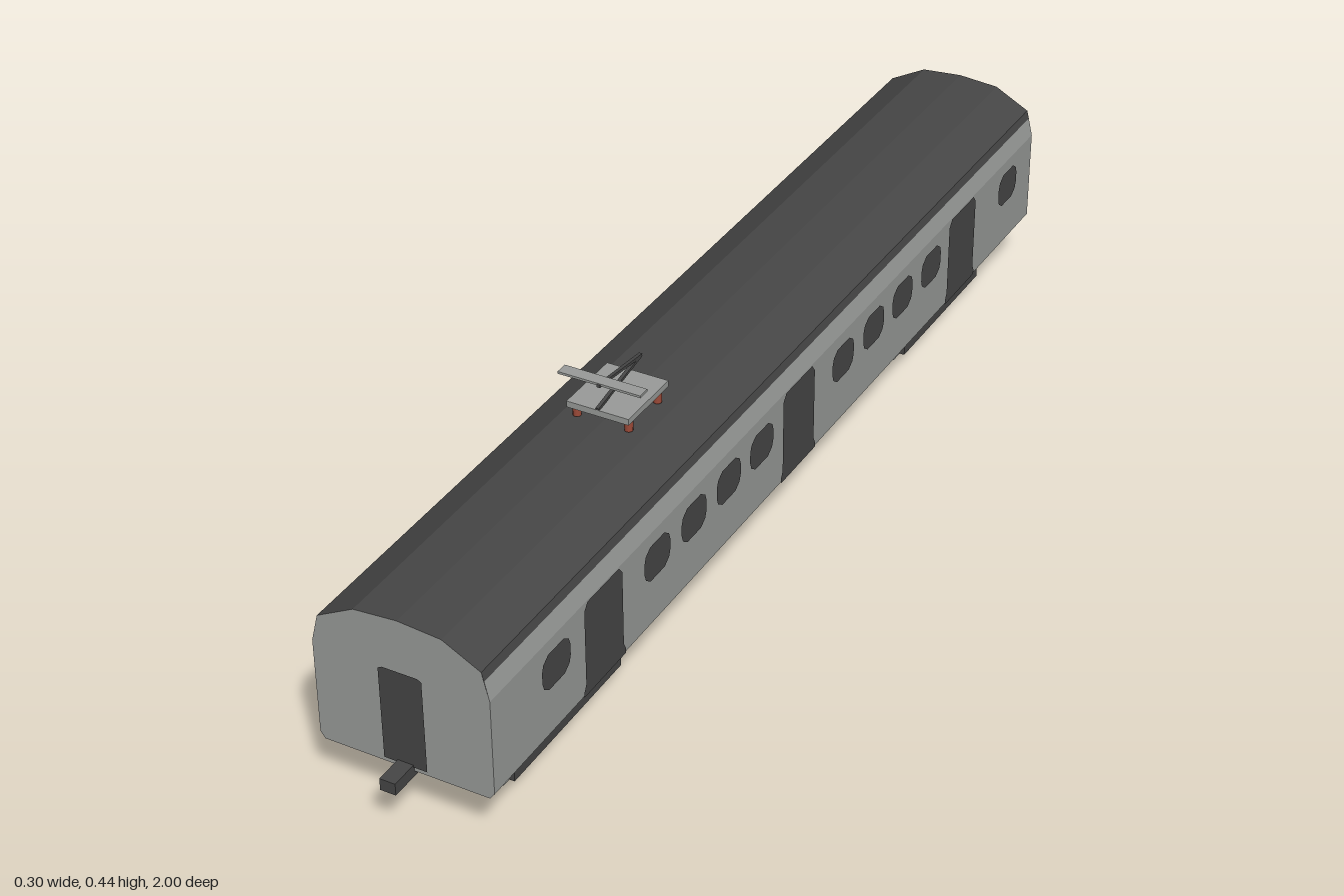
import * as THREE from 'three';

const HALF = 0.95; // half length of the car body

export function createModel() {
  const mat = (name, color) => Object.assign(new THREE.MeshStandardMaterial({ color }), { name });
  const grey = mat('body grey', 0x999b99);
  const dark = mat('dark grey', 0x464646);
  const rust = mat('insulator rust', 0x9c4a38);

  const model = new THREE.Group();
  model.name = 'railcar';

  const add = (name, geometry, material, x = 0, y = 0, z = 0, parent = model) => {
    const mesh = new THREE.Mesh(geometry, material);
    mesh.name = name;
    mesh.position.set(x, y, z);
    parent.add(mesh);
    return mesh;
  };
  // Box given by its width, y range and z range
  const box = (name, material, x, w, y0, y1, z0, z1, parent) =>
    add(name, new THREE.BoxGeometry(w, y1 - y0, z1 - z0), material, x, (y0 + y1) / 2, (z0 + z1) / 2, parent);
  const polygon = (pts) => new THREE.ShapeGeometry(new THREE.Shape(pts.map((p) => new THREE.Vector2(...p))));
  const mirror = (pts) => pts.map(([x, y]) => [-x, y]).reverse();

  // Sweep an open cross-section along the whole body, flat faces
  const strip = (pts) => {
    const v = [];
    for (let i = 0; i < pts.length - 1; i++) {
      const [a, b] = [pts[i], pts[i + 1]];
      v.push(...a, -HALF, ...b, -HALF, ...b, HALF, ...a, -HALF, ...b, HALF, ...a, HALF);
    }
    const g = new THREE.BufferGeometry();
    g.setAttribute('position', new THREE.Float32BufferAttribute(v, 3));
    g.computeVertexNormals();
    return g;
  };

  // Body shell: walls, roof, underframe and ends
  const sill = [[0.142, 0.096], [0.15, 0.107]];
  const wall = [[0.15, 0.107], [0.15, 0.275], [0.142, 0.308]];
  const roof = [[0.142, 0.308], [0.138, 0.323], [0.074, 0.357]];
  add('leftWall', strip(wall), grey);
  add('rightWall', strip(mirror(wall)), grey);
  add('roof', strip([...roof, [0, 0.363], ...mirror(roof)]), dark);
  add('underframe', strip([...mirror(sill), ...sill]), dark);
  const half = [...sill, wall[1], ...roof.slice(1)];
  const endShape = polygon([...half, [0, 0.363], ...mirror(half)]);
  const endDoor = polygon([[-0.037, 0.104], [0.037, 0.104], [0.037, 0.268], [0.03, 0.272], [-0.03, 0.272], [-0.037, 0.268]]);
  for (const s of [1, -1]) {
    const end = new THREE.Group();
    end.name = s > 0 ? 'frontEnd' : 'backEnd';
    end.rotation.y = s > 0 ? 0 : Math.PI;
    model.add(end);
    add('endWall', endShape, grey, 0, 0, HALF, end);
    add('gangwayDoor', endDoor, dark, 0, 0, HALF + 0.002, end);
    box('coupler', dark, 0, 0.027, 0.087, 0.108, HALF - 0.03, 1, end);
  }

  // Side windows and doors, the same on both sides
  const windowShape = polygon([[-0.022, -0.032], [0.022, -0.032], [0.036, -0.022], [0.04, -0.01], [0.04, 0.01],
    [0.036, 0.022], [0.022, 0.032], [-0.022, 0.032], [-0.036, 0.022], [-0.04, 0.01], [-0.04, -0.01], [-0.036, -0.022]]);
  const halfDoor = [[0.062, 0.107], [0.062, 0.116], [0.056, 0.128], [0.056, 0.262], [0.046, 0.275]];
  const doorShape = polygon([...halfDoor, ...mirror(halfDoor)]);
  const windowZ = [0.775, 0.476, 0.36, 0.246, 0.134, -0.16, -0.277, -0.391, -0.508, -0.84];
  for (const s of [1, -1]) {
    const side = s > 0 ? 'left' : 'right';
    for (const z of windowZ) add(side + 'Window', windowShape, dark, s * 0.152, 0.222, z).rotation.y = s * Math.PI / 2;
    for (const z of [0.638, 0.003, -0.638]) add(side + 'Door', doorShape, dark, s * 0.152, 0, z).rotation.y = s * Math.PI / 2;
  }

  // Underfloor equipment and the two bogies
  box('equipmentBox', dark, 0, 0.2, 0.058, 0.096, -0.415, 0.415);
  for (const s of [1, -1]) {
    const bogie = new THREE.Group();
    bogie.name = s > 0 ? 'frontBogie' : 'backBogie';
    bogie.position.z = s * 0.67;
    model.add(bogie);
    box('bogieFrame', dark, 0, 0.21, 0.022, 0.086, -0.158, 0.158, bogie);
    add('pivot', new THREE.CylinderGeometry(0.04, 0.04, 0.012, 16), dark, 0, 0.091, 0, bogie);
    for (const x of [-0.077, 0.077]) box('wheelRunner', grey, x, 0.009, 0, 0.088, -0.152, 0.152, bogie);
  }

  // Pantograph: insulators, base, folded arms and contact bar
  const pantograph = new THREE.Group();
  pantograph.name = 'pantograph';
  model.add(pantograph);
  for (const x of [-0.046, 0.046]) for (const z of [0.284, 0.374])
    add('insulator', new THREE.CylinderGeometry(0.007, 0.007, 0.022, 12), rust, x, 0.372, z, pantograph);
  box('base', grey, 0, 0.11, 0.381, 0.392, 0.265, 0.39, pantograph);
  const arm = (name, y0, z0, y1, z1) => {
    const len = Math.hypot(y1 - y0, z1 - z0);
    const mesh = add(name, new THREE.BoxGeometry(0.006, 0.005, len), dark, 0, (y0 + y1) / 2, (z0 + z1) / 2, pantograph);
    mesh.rotation.x = -Math.atan2(y1 - y0, z1 - z0);
  };
  arm('lowerArm', 0.393, 0.39, 0.418, 0.255);
  arm('upperArm', 0.418, 0.255, 0.433, 0.385);
  box('contactBar', grey, 0, 0.146, 0.433, 0.437, 0.362, 0.384, pantograph);

  return model;
}
